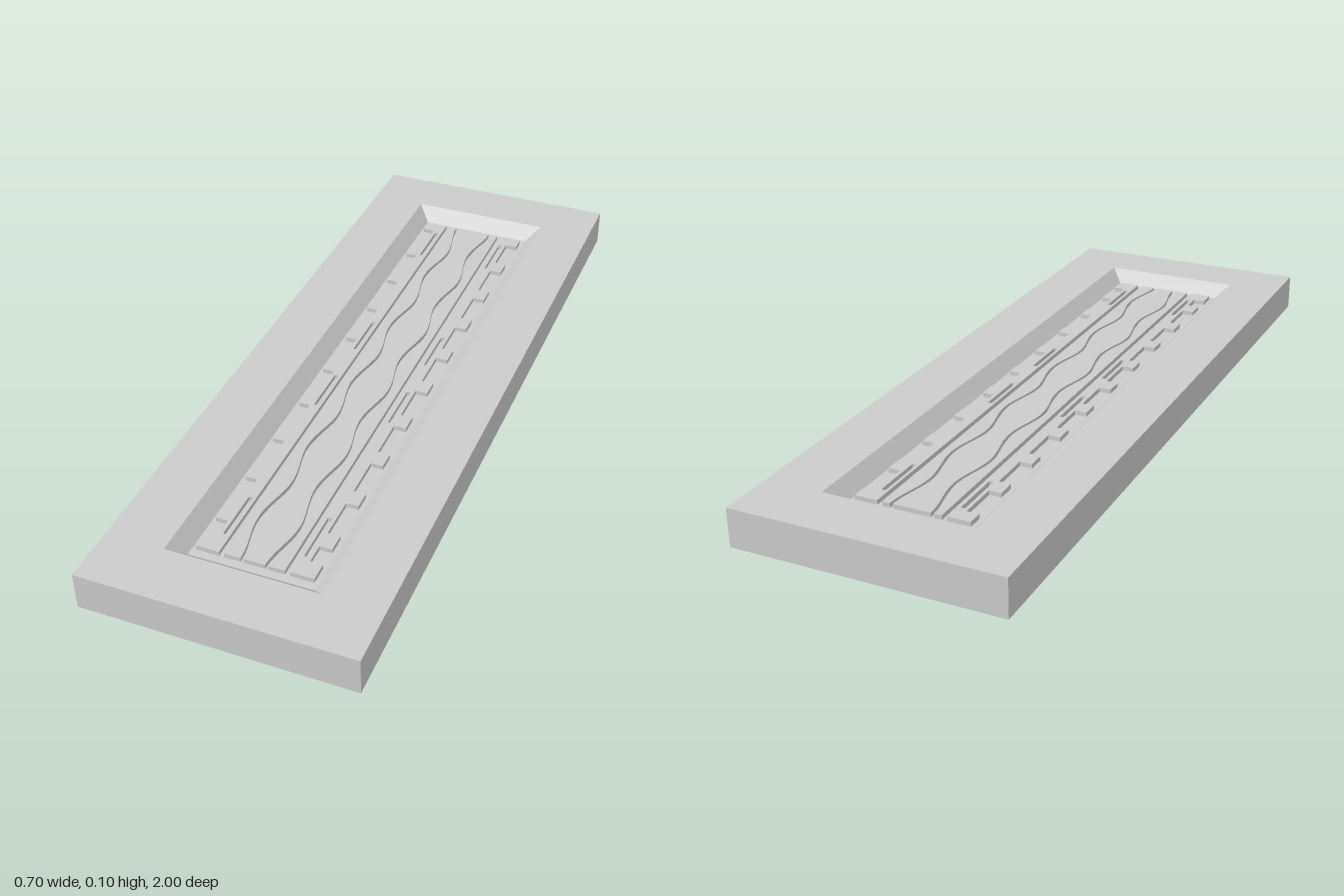
import * as THREE from 'three';

const material = new THREE.MeshStandardMaterial({ color: 0xcccccc, flatShading: true, side: THREE.DoubleSide });
const TOP = 0.1, FLOOR = 0.062, TREAD = 0.074;

function addMesh(parent, name, geometry) {
  const mesh = new THREE.Mesh(geometry, material);
  mesh.name = name;
  parent.add(mesh);
  return mesh;
}

// Band of four quads joining two rectangular loops [halfX, y, halfZ]
function rectBand([ax, ay, az], [bx, by, bz]) {
  const corners = [[1, 1], [1, -1], [-1, -1], [-1, 1]];
  const pos = [];
  corners.forEach(([sx, sz], i) => {
    const [tx, tz] = corners[(i + 1) % 4];
    const a = [sx * ax, ay, sz * az], b = [tx * ax, ay, tz * az];
    const c = [tx * bx, by, tz * bz], d = [sx * bx, by, sz * bz];
    pos.push(...a, ...b, ...c, ...a, ...c, ...d);
  });
  const g = new THREE.BufferGeometry();
  g.setAttribute('position', new THREE.Float32BufferAttribute(pos, 3));
  g.computeVertexNormals();
  return g;
}

// Raised pad from an outline in plan, given as [x, z] points
function pad(points, holes = []) {
  const toPoints = list => list.map(([x, z]) => new THREE.Vector2(x, -z));
  const shape = new THREE.Shape(toPoints(points));
  holes.forEach(h => shape.holes.push(new THREE.Path(toPoints(h))));
  const g = new THREE.ExtrudeGeometry(shape, { depth: TREAD - FLOOR, bevelEnabled: false });
  return g.rotateX(-Math.PI / 2).translate(0, FLOOR, 0);
}

const rect = (x0, x1, z0, z1) => [[x0, z0], [x1, z0], [x1, z1], [x0, z1]];

export function createModel() {
  const group = new THREE.Group();

  // Open-bottomed frame with a sloped recess
  const rim = [0.197, TOP, 0.85], foot = [0.16, FLOOR, 0.812];
  addMesh(group, 'outerWalls', rectBand([0.348, 0, 1], [0.348, TOP, 1]));
  addMesh(group, 'topFrame', rectBand([0.348, TOP, 1], rim));
  addMesh(group, 'recessSlopes', rectBand(rim, foot));
  addMesh(group, 'recessFloor', new THREE.PlaneGeometry(0.32, 1.624).rotateX(-Math.PI / 2).translate(0, FLOOR, 0));

  // Central rib, split into three strips by two wavy grooves
  const tread = new THREE.Group();
  tread.name = 'tread';
  group.add(tread);
  const END = 0.79, STEPS = 64;
  const wave = (side, offset) => Array.from({ length: STEPS + 1 }, (_, i) => {
    const z = -END + (2 * END * i) / STEPS;
    return [side * (0.042 + 0.011 * Math.cos((z + 0.79) * Math.PI * 2 / 0.287) + offset), z];
  });
  addMesh(tread, 'centreRib', pad([...wave(1, -0.004), ...wave(-1, -0.004).reverse()]));
  for (const side of [-1, 1]) {
    addMesh(tread, 'sideRib', pad([...wave(side, 0.004), [side * 0.077, END], [side * 0.077, -END]]));
  }

  // Toothed shoulder bars with slits along the inner edge
  const teeth = [[-0.79, -0.75]];
  for (let i = 0; i < 9; i++) {
    const z = -0.617 + i * 0.16;
    teeth.push([z - 0.024, z + 0.024]);
  }
  teeth.push([0.74, 0.79]);
  const slits = [[-0.74, -0.6], [-0.21, -0.07], [0.06, 0.2], [0.59, 0.73]];
  for (const side of [-1, 1]) {
    const outline = [[side * 0.09, -END]];
    for (const [z0, z1] of teeth) {
      outline.push([side * 0.118, z0], [side * 0.15, z0], [side * 0.15, z1], [side * 0.118, z1]);
    }
    outline.push([side * 0.09, END]);
    const holes = slits.map(([z0, z1]) => rect(side * 0.098, side * 0.109, z0, z1));
    addMesh(tread, 'shoulderBar', pad(outline, holes));
  }
  return group;
}
